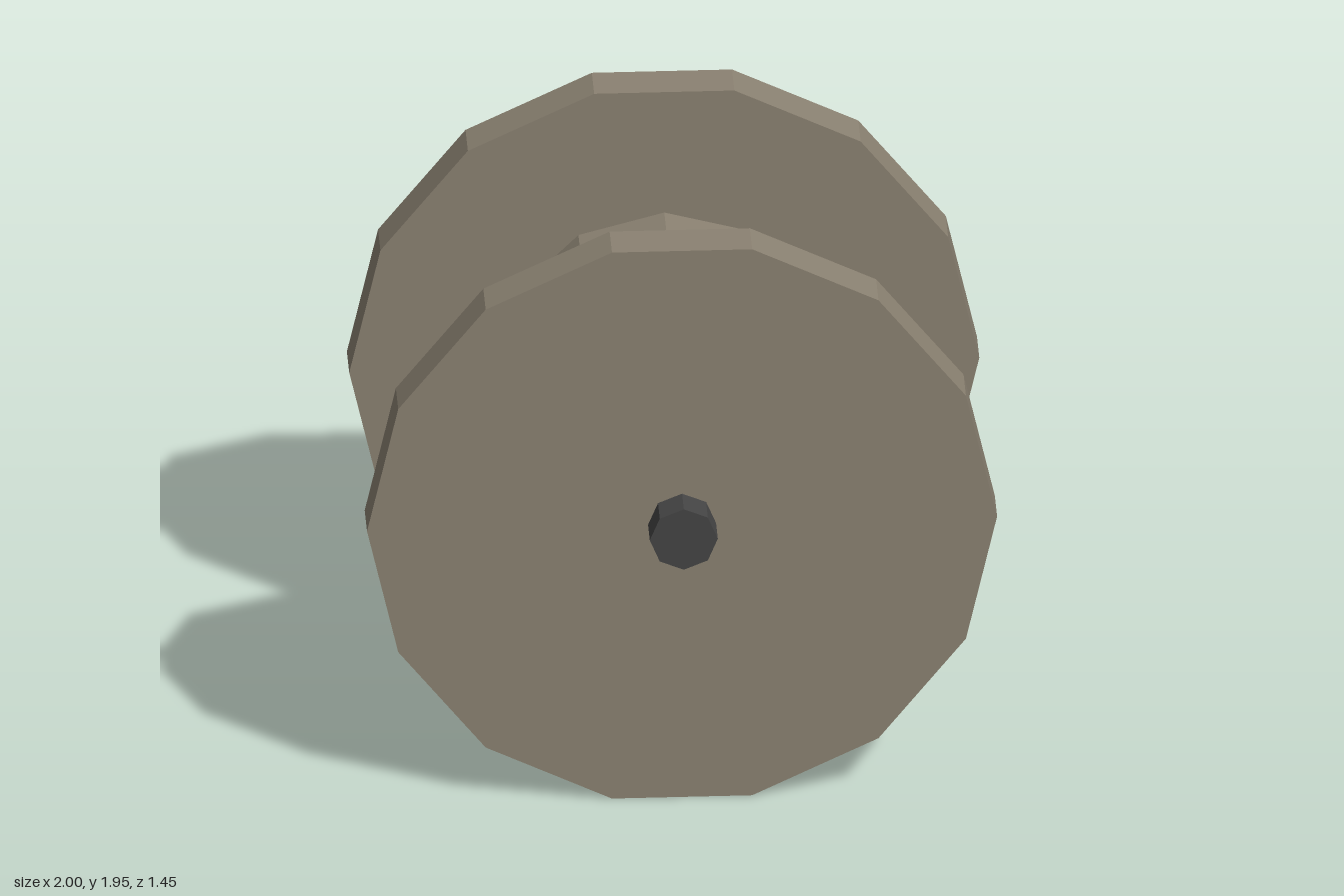
import * as THREE from 'three';

const CENTER_Y = Math.cos(Math.PI / 14); // the flanges rest on a flat side

export function createModel() {
  const group = new THREE.Group();
  group.name = 'cableSpool';

  const wood = new THREE.MeshStandardMaterial({ color: 0x8b8272, flatShading: true });
  wood.name = 'weathered wood';
  const iron = new THREE.MeshStandardMaterial({ color: 0x454545, flatShading: true });
  iron.name = 'dark iron';

  // Faceted cylinder lying along z, with a corner on +x
  function roll(name, radius, length, sides, z, material) {
    const geometry = new THREE.CylinderGeometry(radius, radius, length, sides, 1, false, Math.PI / 2);
    geometry.rotateX(Math.PI / 2);
    const mesh = new THREE.Mesh(geometry, material);
    mesh.name = name;
    mesh.position.set(0, CENTER_Y, z);
    group.add(mesh);
  }

  // Central drum between the flanges
  roll('drum', 0.545, 0.95, 12, 0, wood);

  // Front and back flanges
  roll('frontFlange', 1, 0.145, 14, 0.547, wood);
  roll('backFlange', 1, 0.145, 14, -0.547, wood);

  // Axle through the whole spool
  roll('axle', 0.108, 1.454, 8, 0, iron);

  return group;
}
